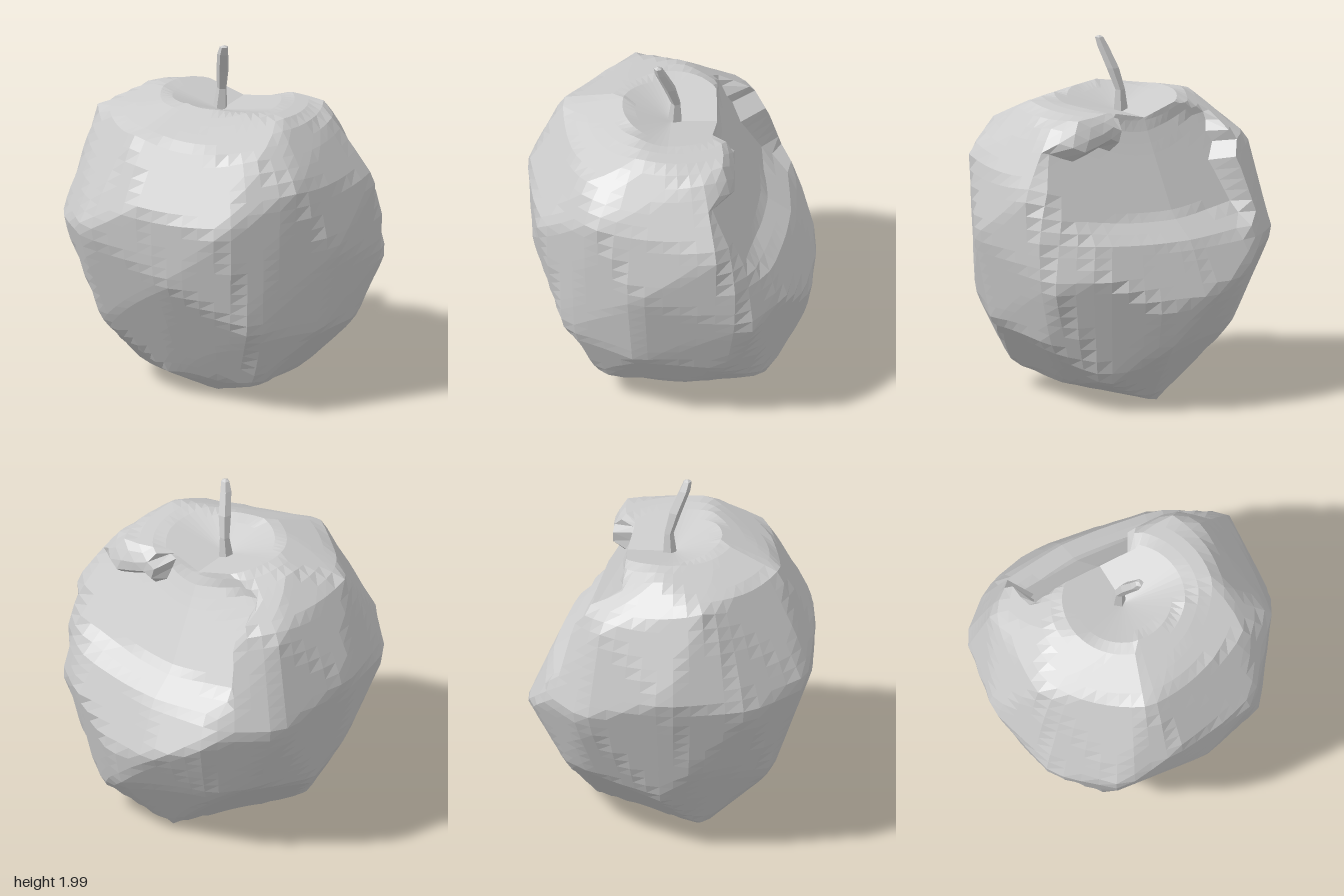
import * as THREE from 'three';
import { ConvexGeometry } from 'three/addons/geometries/ConvexGeometry.js';

const COLUMNS = 54, ROWS = 40;
const CENTRE = new THREE.Vector3(0, 0.85, 0);

// Corners of the faceted fruit before biting
const CORNERS = [
  // top rim and shoulders
  [-0.1, 1.7, 0.27], [0.5, 1.67, 0.17], [-0.46, 1.66, -0.05], [0.5, 1.63, -0.3], [-0.17, 1.68, -0.26],
  [-0.67, 1.56, 0.21], [-0.2, 1.585, 0.61], [0.5, 1.52, 0.49], [0.71, 1.38, 0.42], [0.62, 1.58, -0.17],
  [-0.45, 1.46, -0.47], [-0.63, 1.42, -0.38],
  // widest part
  [-0.1, 1.23, 0.8], [0.41, 1.14, 0.74], [-0.47, 1.04, 0.77], [-0.75, 0.97, 0.48], [-0.85, 1.06, 0],
  [0.84, 0.96, 0.2], [0.84, 1.24, -0.27], [0.81, 0.74, -0.44], [-0.73, 0.9, -0.49], [-0.5, 0.9, -0.67],
  [-0.45, 1.22, -0.57], [-0.34, 0.78, -0.76], [-0.1, 0.68, -0.81], [0.24, 0.6, -0.78], [0.57, 0.8, -0.63],
  [0.09, 0.81, 0.77],
  // lower part
  [0.53, 0.52, 0.59], [-0.44, 0.44, 0.57], [0.73, 0.47, 0.2], [0.7, 0.38, -0.27], [-0.72, 0.57, 0.15],
  [-0.63, 0.35, -0.05], [-0.5, 0.45, -0.45], [0.2, 0.38, -0.74], [-0.35, 0.4, -0.57],
  // base
  [0.44, 0.14, 0.38], [-0.1, 0.14, 0.42], [-0.44, 0.13, 0.2], [0.46, 0.11, -0.1], [0.48, 0.18, -0.52],
  [0.1, 0.01, 0.23], [0.06, 0.01, -0.43], [-0.4, 0.07, 0.18],
].map((p) => new THREE.Vector3(...p));

// Depth of the bitten surface at each height
const BITE = [[0.68, -0.81], [0.95, -0.67], [1.07, -0.51], [1.43, -0.32], [1.55, -0.26], [1.75, -0.24]];

function biteLimit(x, y) {
  if (y < BITE[0][0] || x < -0.43) return -Infinity;
  if (y > 1.46 && x > 0.22) return -0.35; // overhanging flap of skin
  let k = 0;
  while (k < BITE.length - 2 && y > BITE[k + 1][0]) k++;
  const [y0, z0] = BITE[k], [y1, z1] = BITE[k + 1];
  return THREE.MathUtils.lerp(z0, z1, (y - y0) / (y1 - y0)) + 0.12 * Math.max(0, x);
}

// Height of the hollow round the stem, open towards the bite
function dimpleHeight(x, z) {
  const q = Math.hypot(x / (x > 0 ? 0.48 : 0.4), Math.max(0, z) / 0.27);
  return q < 1 ? 1.58 + 0.11 * q : Infinity;
}

// Joins closed loops of points into a faceted skin
function skin(loops) {
  const pos = [];
  for (let i = 0; i < loops.length - 1; i++) {
    const n = loops[i].length;
    for (let j = 0; j < n; j++) {
      const k = (j + 1) % n;
      const a = loops[i][j], b = loops[i][k], c = loops[i + 1][k], d = loops[i + 1][j];
      [a, b, c, a, c, d].forEach((p) => pos.push(...p));
    }
  }
  const geo = new THREE.BufferGeometry();
  geo.setAttribute('position', new THREE.Float32BufferAttribute(pos, 3));
  geo.computeVertexNormals();
  return geo;
}

// Planes of the facets spanned by the corners
function facetPlanes(points) {
  const p = new ConvexGeometry(points).getAttribute('position');
  const corner = (i) => new THREE.Vector3().fromBufferAttribute(p, i);
  return Array.from({ length: p.count / 3 }, (_, f) =>
    new THREE.Plane().setFromCoplanarPoints(corner(3 * f), corner(3 * f + 1), corner(3 * f + 2)));
}

export function createModel() {
  const group = new THREE.Group();
  const grey = new THREE.MeshStandardMaterial({ color: 0xcccccc, flatShading: true });
  grey.name = 'light grey';

  // Fruit body: a grid cast onto the facets, then bitten at the back and hollowed on top
  const planes = facetPlanes(CORNERS);
  const bodyLoops = Array.from({ length: ROWS + 1 }, (_, i) =>
    Array.from({ length: COLUMNS }, (_, j) => {
      const t = Math.PI * (1 - i / ROWS), a = (j / COLUMNS) * Math.PI * 2;
      const dir = new THREE.Vector3().setFromSphericalCoords(1, t, a);
      let reach = Infinity;
      for (const plane of planes) {
        const facing = plane.normal.dot(dir);
        if (facing > 1e-4) reach = Math.min(reach, -plane.distanceToPoint(CENTRE) / facing);
      }
      const { x, y, z } = dir.multiplyScalar(reach).add(CENTRE);
      const bitten = Math.max(z, biteLimit(x, y));
      return [x, Math.min(y, dimpleHeight(x, bitten)), bitten];
    }));
  const body = new THREE.Mesh(skin(bodyLoops), grey);
  body.name = 'fruitBody';
  group.add(body);

  // Leaning stem: x, y, z and radius along its length
  const stemPath = [
    [-0.02, 1.55, -0.02, 0.045], [-0.01, 1.7, -0.025, 0.028], [0.015, 1.82, 0.01, 0.036],
    [0.045, 1.94, 0.06, 0.032], [0.06, 1.99, 0.075, 0.024], [0.06, 2.0, 0.075, 0.001],
  ];
  const stemLoops = stemPath.map(([x, y, z, r]) =>
    Array.from({ length: 5 }, (_, j) => {
      const a = (j / 5) * Math.PI * 2;
      return [x + r * Math.sin(a), y, z + r * Math.cos(a)];
    }));
  const stem = new THREE.Mesh(skin(stemLoops), grey);
  stem.name = 'stem';
  group.add(stem);
  return group;
}
